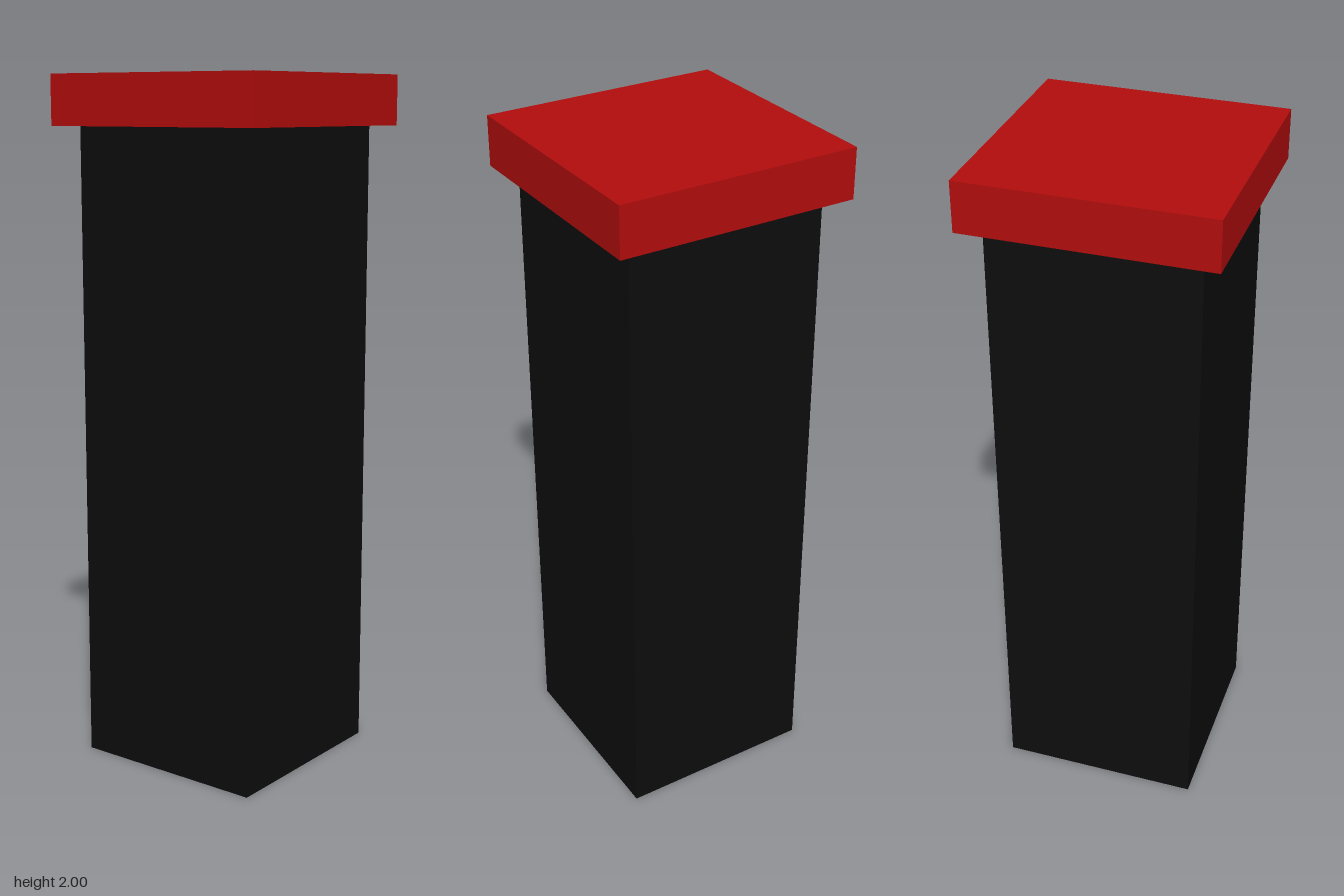
import * as THREE from 'three';

export function createModel() {
  const group = new THREE.Group();
  const postHalf = 0.293, capWidth = 0.7, capBottom = 1.857, top = 2;

  // Hollow square post, open at the bottom
  const postGeometry = new THREE.CylinderGeometry(
    postHalf * Math.SQRT2, postHalf * Math.SQRT2, capBottom, 4, 1, true);
  postGeometry.rotateY(Math.PI / 4);
  const post = new THREE.Mesh(postGeometry, new THREE.MeshStandardMaterial({
    color: 0x0d0d0d, flatShading: true, side: THREE.DoubleSide,
  }));
  post.name = 'post';
  post.position.y = capBottom / 2;

  // Overhanging square cap
  const cap = new THREE.Mesh(
    new THREE.BoxGeometry(capWidth, top - capBottom, capWidth),
    new THREE.MeshStandardMaterial({ color: 0xb30d0d }));
  cap.name = 'cap';
  cap.position.y = (capBottom + top) / 2;

  group.add(post, cap);
  return group;
}
